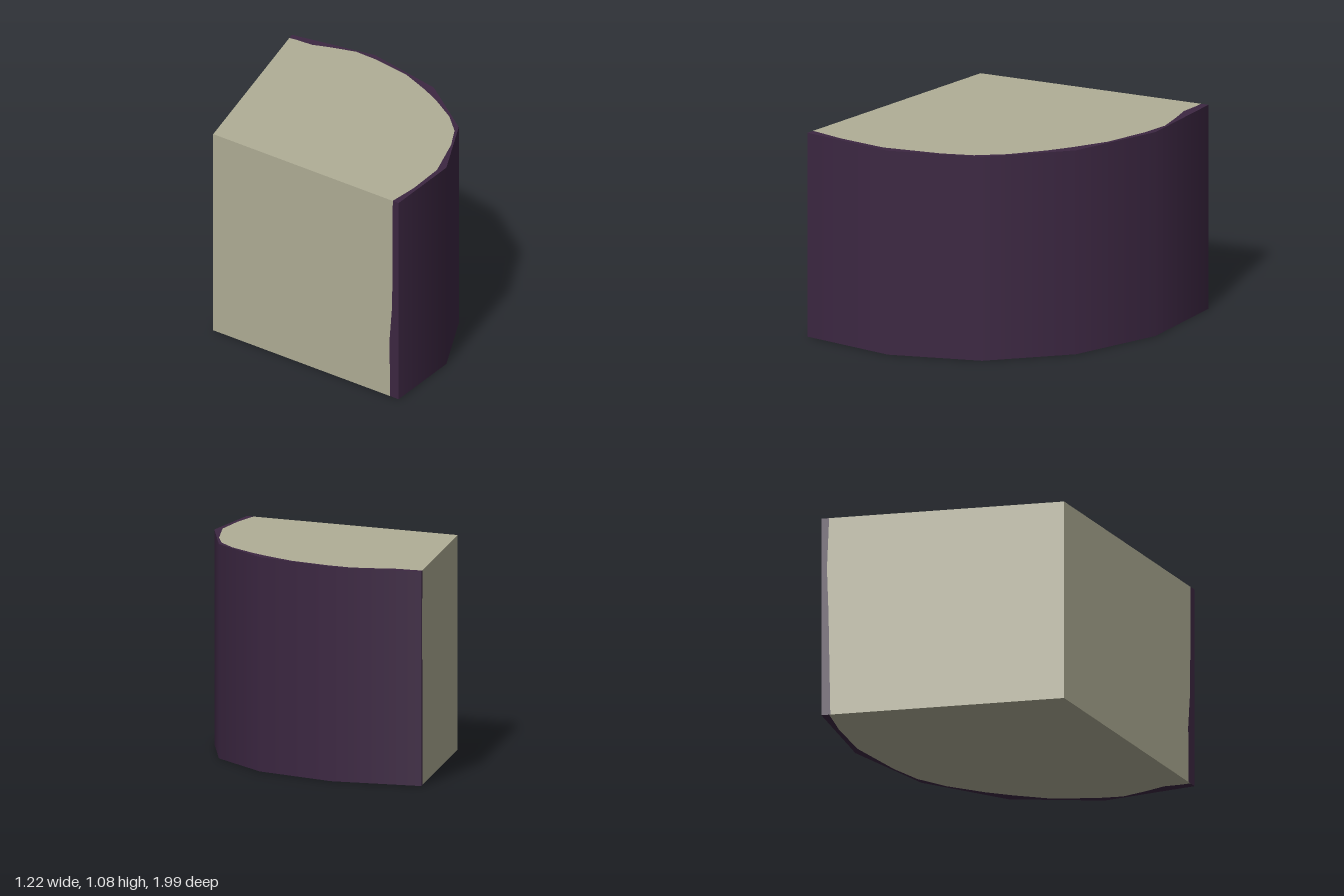
import * as THREE from 'three';

const R = 1.22, H = 1.075;
const rad = THREE.MathUtils.degToRad;
const SWEEP = 112.5, STEPS = 5;

// Edge of the pale flesh on the caps: [degrees along the rim, radius]
const fleshEdge = [
  [0, 1.181], [2.2, 1.171], [6.5, 1.149], [11.4, 1.165], [17.8, 1.192],
  [24.5, 1.185], [35.5, 1.181], [45, 1.17], [51.6, 1.173], [61.4, 1.188],
  [69.4, 1.197], [77.4, 1.186], [91.9, 1.185], [103.7, 1.176], [112.5, 1.181],
];

// Edge of the flesh on the two cut sides: [radius, height]
const frontCutEdge = [[1.165, 0], [1.16, 0.3], [1.178, 0.5], [1.18, 0.8], [1.182, H]];
const backCutEdge = [[1.175, 0], [1.18, 0.3], [1.184, 0.55], [1.192, 0.8], [1.181, H]];

const flat = (points) =>
  new THREE.ShapeGeometry(new THREE.Shape(points.map(([x, y]) => new THREE.Vector2(x, y))));
const polar = ([deg, r]) => [r * Math.cos(rad(deg)), -r * Math.sin(rad(deg))];

export function createModel() {
  const model = new THREE.Group();
  model.name = 'wedge';
  const flesh = new THREE.MeshStandardMaterial({ color: 0xb0ae96 });
  flesh.name = 'pale flesh';
  const skin = new THREE.MeshStandardMaterial({ color: 0x3c2742 });
  skin.name = 'dark skin';

  // Everything is built around the wedge's tip
  const body = new THREE.Group();
  body.name = 'body';
  body.position.set(-0.61, 0, -0.135);
  model.add(body);
  const add = (name, geometry, material) => {
    const mesh = new THREE.Mesh(geometry, material);
    mesh.name = name;
    body.add(mesh);
  };

  // Curved outer skin
  const outer = new THREE.CylinderGeometry(R, R, H, STEPS, 1, true, rad(22.5), rad(SWEEP));
  add('outerSkin', outer.translate(0, H / 2, 0), skin);

  // Caps: flesh sector plus a thin rim of skin, flipped over for the bottom
  const inner = fleshEdge.map(polar);
  const rim = Array.from({ length: STEPS + 1 }, (_, i) => polar([(i * SWEEP) / STEPS, R]));
  const addCap = (name, turn, tilt, y) => {
    const place = (g) => g.rotateZ(rad(turn)).rotateX(tilt).translate(0, y, 0);
    add(name + 'Flesh', place(flat([[0, 0], ...inner])), flesh);
    add(name + 'Rim', place(flat([...rim, ...[...inner].reverse()])), skin);
  };
  addCap('top', 45, -Math.PI / 2, H);
  addCap('bottom', 67.5, Math.PI / 2, 0);

  // Cut sides: flesh panel plus a narrow strip of skin at the outer end
  const addCut = (name, edge, side, turn) => {
    const pts = edge.map(([r, y]) => [side * r, y]);
    const panel = flat([[0, 0], ...pts, [0, H]]);
    const strip = flat([[side * R, 0], [side * R, H], ...[...pts].reverse()]);
    add(name + 'Flesh', panel.rotateY(rad(turn)), flesh);
    add(name + 'Strip', strip.rotateY(rad(turn)), skin);
  };
  addCut('frontCut', frontCutEdge, 1, -67.5);
  addCut('backCut', backCutEdge, -1, -135);

  return model;
}
